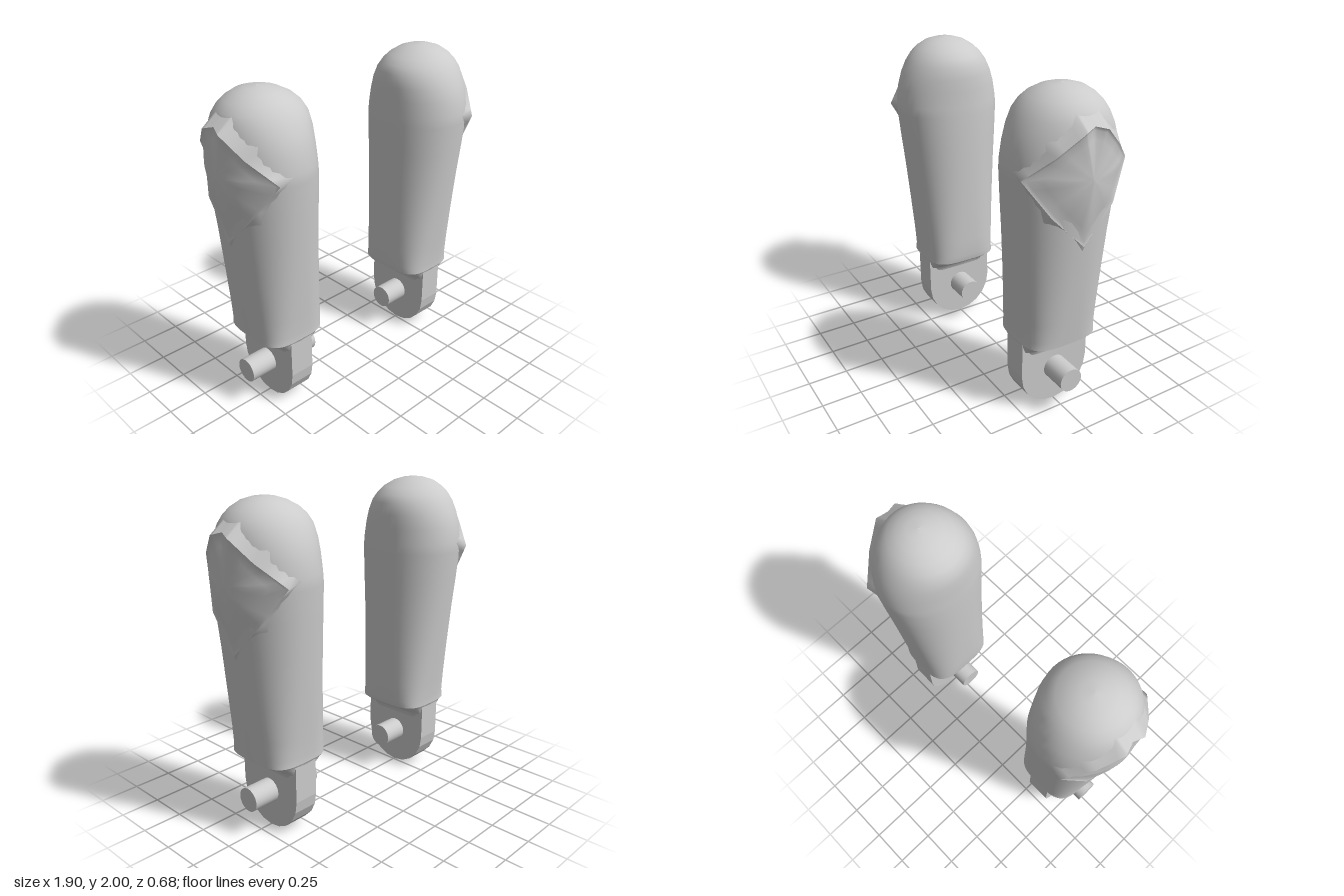
import * as THREE from 'three';

const grey = new THREE.MeshStandardMaterial({ color: 0xcccccc });
const flatGrey = new THREE.MeshStandardMaterial({ color: 0xcccccc, flatShading: true });

// Skin a list of closed loops that share a point count
function loft(loops) {
  const n = loops[0].length;
  const index = [];
  for (let i = 0; i < loops.length - 1; i++) {
    for (let j = 0; j < n; j++) {
      const k = (j + 1) % n;
      const a = i * n + j, b = i * n + k, c = a + n, d = b + n;
      index.push(a, b, c, b, d, c);
    }
  }
  const geo = new THREE.BufferGeometry();
  geo.setAttribute('position', new THREE.Float32BufferAttribute(loops.flat(2), 3));
  geo.setIndex(index);
  geo.computeVertexNormals();
  return geo;
}

// Rounded cross-section: height, inner x, outer x, half depth, squareness
function section([y, x0, x1, depth, power]) {
  const loop = [];
  const soft = (v) => Math.sign(v) * Math.pow(Math.abs(v), 2 / power);
  for (let j = 0; j < 48; j++) {
    const a = (j / 48) * Math.PI * 2;
    loop.push([(x0 + x1) / 2 + ((x1 - x0) / 2) * soft(Math.cos(a)), y, depth * soft(Math.sin(a))]);
  }
  return loop;
}

// Close a half outline (z >= 0) by mirroring, and subdivide its edges
function mirroredLoop(half) {
  const back = half.slice(1, -1).reverse().map(([x, y, z]) => [x, y, -z]);
  const keys = [...half, ...back];
  const loop = [];
  keys.forEach((p, i) => {
    const q = keys[(i + 1) % keys.length];
    for (let s = 0; s < 4; s++) loop.push(p.map((v, k) => v + ((q[k] - v) * s) / 4));
  });
  return loop;
}

function add(group, name, geometry, material = grey) {
  const mesh = new THREE.Mesh(geometry, material);
  mesh.name = name;
  group.add(mesh);
}

function createLeg() {
  const leg = new THREE.Group();

  // Domed, tapering shell
  const shell = [
    [2.0, 0.639, 0.641, 0.001, 2], [1.994, 0.57, 0.71, 0.07, 2], [1.975, 0.51, 0.77, 0.13, 2],
    [1.94, 0.445, 0.825, 0.185, 2], [1.9, 0.4, 0.865, 0.225, 2], [1.85, 0.37, 0.893, 0.26, 2],
    [1.78, 0.36, 0.908, 0.295, 2], [1.7, 0.357, 0.916, 0.32, 2], [1.6, 0.355, 0.918, 0.335, 2.05],
    [1.54, 0.352, 0.915, 0.333, 2.1], [1.36, 0.352, 0.9, 0.318, 2.15], [1.16, 0.353, 0.88, 0.3, 2.2],
    [0.9, 0.355, 0.855, 0.277, 2.4], [0.65, 0.358, 0.828, 0.255, 2.8], [0.53, 0.362, 0.815, 0.245, 3.2],
    [0.485, 0.372, 0.81, 0.245, 3.6],
  ];
  add(leg, 'legShell', loft(shell.map(section)));

  // Underside funnelling into the ankle plate
  const underside = [
    [0.485, 0.372, 0.81, 0.245, 3.6], [0.47, 0.39, 0.79, 0.236, 3.6], [0.435, 0.455, 0.725, 0.23, 4],
    [0.405, 0.505, 0.675, 0.228, 6], [0.36, 0.512, 0.668, 0.226, 8],
  ];
  add(leg, 'legUnderside', loft(underside.map(section)));

  // Diamond side panel: rim, hood blending to the shell, and bulged face
  const rim = mirroredLoop([
    [0.925, 1.84, 0], [0.95, 1.82, 0.07], [0.888, 1.7, 0.2],
    [0.78, 1.57, 0.34], [0.866, 1.36, 0.2], [0.89, 1.155, 0],
  ]);
  const skirt = mirroredLoop([
    [0.8, 1.945, 0], [0.81, 1.93, 0.07], [0.78, 1.8, 0.235],
    [0.66, 1.6, 0.328], [0.82, 1.32, 0.225], [0.865, 1.1, 0],
  ]);
  add(leg, 'panelHood', loft([skirt, rim]));

  const faceLoops = [1, 0.93, 0.75, 0.5, 0.25, 0].map((s) =>
    rim.map(([x, y, z]) => {
      const recess = s < 1 ? 0.012 * s : 0;
      return [0.94 + (x - 0.94) * s * s - recess, 1.56 + (y - 1.56) * s, z * s];
    }));
  add(leg, 'sidePanel', loft(faceLoops));

  // Ankle plate with rounded lower end
  const outline = new THREE.Shape();
  outline.moveTo(0.235, 0.47);
  outline.lineTo(-0.235, 0.47);
  for (let i = 0; i <= 10; i++) {
    const a = Math.PI + (i / 10) * Math.PI;
    outline.lineTo(0.235 * Math.cos(a), 0.24 + 0.24 * Math.sin(a));
  }
  const plate = new THREE.ExtrudeGeometry(outline, { depth: 0.16, bevelEnabled: false });
  plate.rotateY(Math.PI / 2).translate(0.51, 0, 0);
  add(leg, 'anklePlate', plate, flatGrey);

  // Pin through the plate
  const pin = new THREE.CylinderGeometry(0.075, 0.075, 0.495, 24);
  pin.rotateZ(Math.PI / 2).translate(0.5925, 0.24, 0);
  add(leg, 'anklePin', pin);
  return leg;
}

export function createModel() {
  const model = new THREE.Group();
  model.name = 'legPair';
  for (const side of [1, -1]) {
    const leg = createLeg();
    leg.name = side > 0 ? 'leftLeg' : 'rightLeg';
    leg.scale.x = side;
    model.add(leg);
  }
  return model;
}
